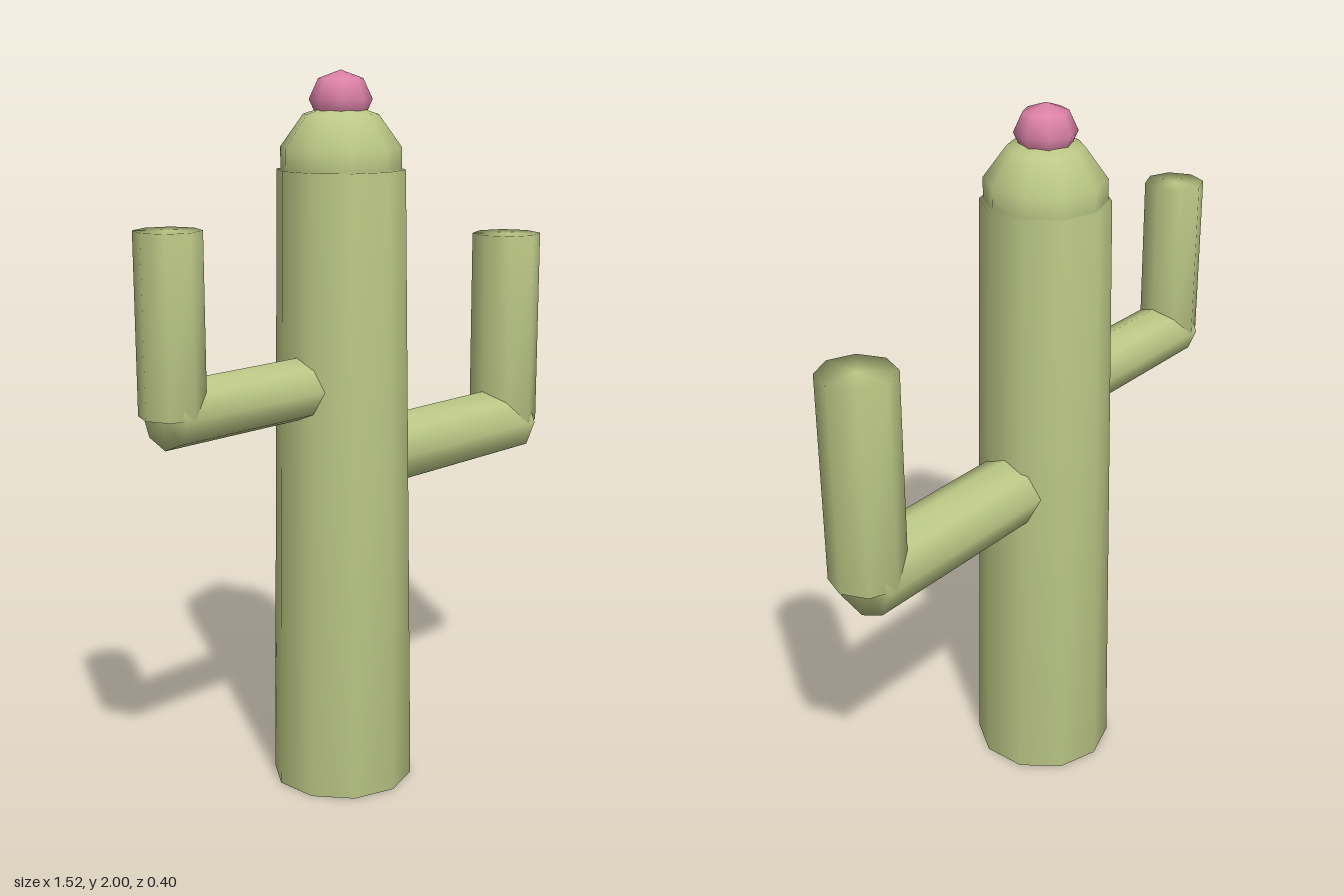
import * as THREE from 'three';
import { mergeVertices } from 'three/addons/utils/BufferGeometryUtils.js';

const TRUNK_X = -0.07;

// Weld all seams and rims so the shading runs softly over the cap edges.
function soften(geometry) {
  geometry.deleteAttribute('normal');
  geometry.deleteAttribute('uv');
  const welded = mergeVertices(geometry, 1e-4);
  welded.computeVertexNormals();
  return welded;
}

export function createModel() {
  const cactus = new THREE.Group();
  cactus.name = 'cactus';
  const green = new THREE.MeshStandardMaterial({ color: 0xbcc886 });
  green.name = 'cactusGreen';
  const pink = new THREE.MeshStandardMaterial({ color: 0xdd82a8 });
  pink.name = 'flowerPink';

  function add(parent, name, geometry, material, x, y) {
    const mesh = new THREE.Mesh(soften(geometry), material);
    mesh.name = name;
    mesh.position.set(x, y, 0);
    parent.add(mesh);
    return mesh;
  }

  // Tapered trunk
  add(cactus, 'trunk', new THREE.CylinderGeometry(0.175, 0.2, 1.74, 10), green, TRUNK_X, 0.87);

  // Rounded crown, turned so its corners line up with the trunk
  add(cactus, 'crown', new THREE.SphereGeometry(0.173, 10, 5).rotateY(Math.PI / 2), green, TRUNK_X, 1.745);

  // Flower bud
  add(cactus, 'flower', new THREE.SphereGeometry(0.085, 8, 4).scale(1, 0.9, 1), pink, TRUNK_X, 1.9235);

  // Arms: a branch out of the trunk and an upright stem at its end
  const arms = [
    { name: 'leftArm', radius: 0.103, y: 0.93, end: 0.685, stemX: 0.655, top: 1.51 },
    { name: 'rightArm', radius: 0.086, y: 1.163, end: -0.705, stemX: -0.678, top: 1.625 },
  ];
  for (const { name, radius, y, end, stemX, top } of arms) {
    const arm = new THREE.Group();
    arm.name = name;
    const branch = new THREE.CylinderGeometry(radius, radius, Math.abs(end - TRUNK_X), 8).rotateZ(Math.PI / 2);
    add(arm, name + 'Branch', branch, green, (end + TRUNK_X) / 2, y);
    const stem = new THREE.CylinderGeometry(radius, radius, top - y, 8);
    add(arm, name + 'Stem', stem, green, stemX, (top + y) / 2);
    cactus.add(arm);
  }
  return cactus;
}
